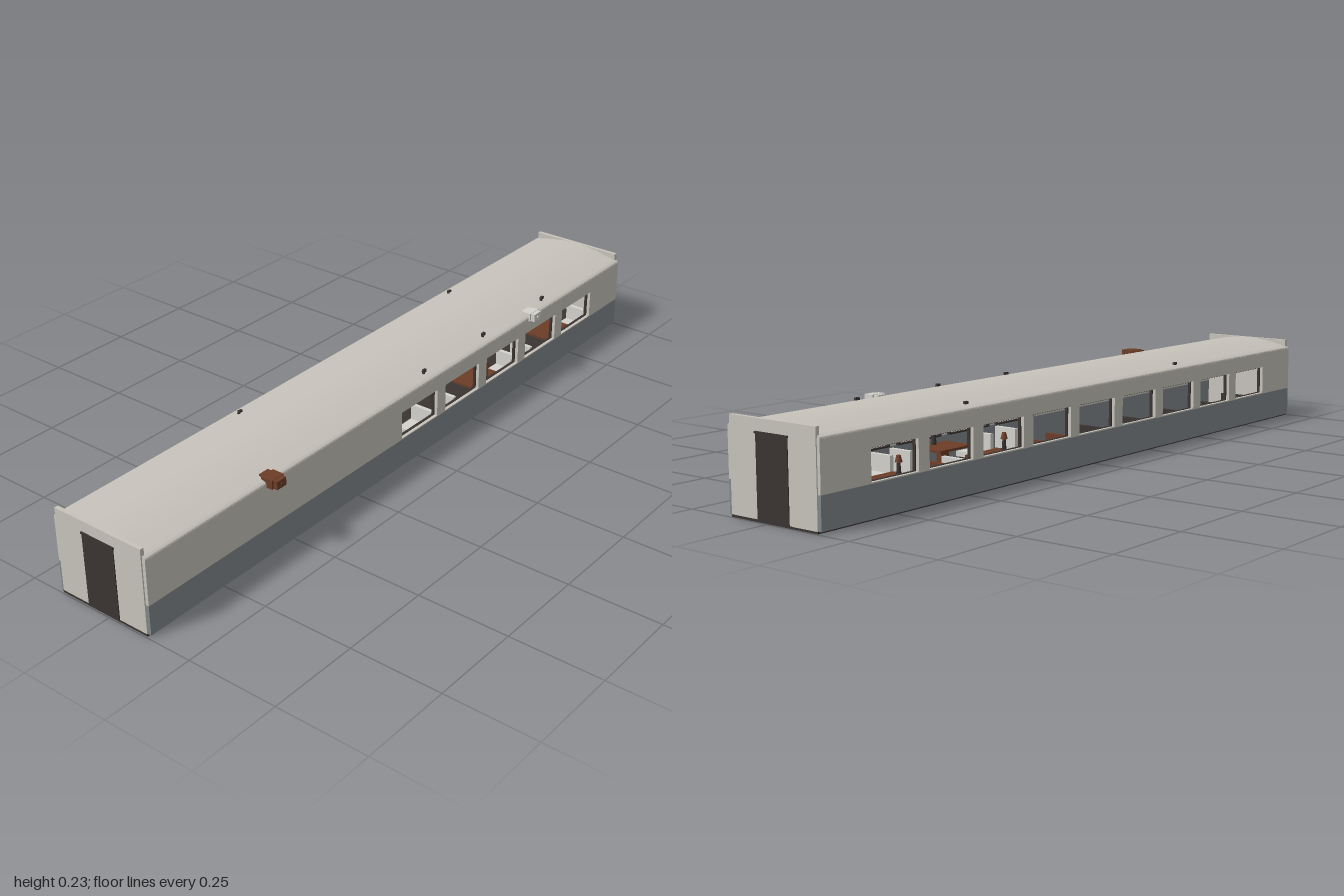
import * as THREE from 'three';
import { toCreasedNormals } from 'three/addons/utils/BufferGeometryUtils.js';

const mat = (name, color) => {
  const m = new THREE.MeshStandardMaterial({ color });
  m.name = name;
  return m;
};

export function createModel() {
  const cream = mat('cream panel', 0xc7c3bb);
  const slate = mat('slate band', 0x80888b);
  const dark = mat('dark trim', 0x3a3332);
  const brown = mat('brown wood', 0x6d3d28);
  const pale = mat('pale upholstery', 0xd3d2cd);

  const car = new THREE.Group();
  car.name = 'railCar';
  const CX = -0.0175; // the body sits slightly off centre

  const add = (parent, name, geo, material, x = 0, y = 0, z = 0) => {
    const m = new THREE.Mesh(geo, material);
    m.name = name;
    m.position.set(x, y, z);
    parent.add(m);
    return m;
  };
  // box given by its limits on each axis
  const box = (parent, name, material, x0, x1, y0, y1, z0, z1) =>
    add(parent, name, new THREE.BoxGeometry(x1 - x0, y1 - y0, z1 - z0), material,
      (x0 + x1) / 2, (y0 + y1) / 2, (z0 + z1) / 2);
  const group = (parent, name, x = 0, y = 0, z = 0) => {
    const g = new THREE.Group();
    g.name = name;
    g.position.set(x, y, z);
    parent.add(g);
    return g;
  };

  // floor
  box(car, 'floor', dark, -0.155, 0.119, 0, 0.006, -0.996, 0.996);

  // side walls: slate band below, cream with window openings above
  const WIN = { w: 0.154, y0: 0.088, y1: 0.165, pitch: 0.1905 };
  const T = 0.009;
  const sideWall = (name, xOuter, dir, first, last) => {
    const g = group(car, name);
    const xMax = dir > 0 ? xOuter : xOuter + T;
    box(g, 'lowerBand', slate, xMax - T, xMax, 0.005, 0.085, -0.993, 0.993);

    const s = new THREE.Shape();
    s.moveTo(-0.993, 0.085).lineTo(0.993, 0.085).lineTo(0.993, 0.208).lineTo(-0.993, 0.208).closePath();
    for (let k = first; k <= last; k++) {
      const c = k * WIN.pitch, a = c - WIN.w / 2, b = c + WIN.w / 2;
      const h = new THREE.Path();
      h.moveTo(a, WIN.y0).lineTo(a, WIN.y1).lineTo(b, WIN.y1).lineTo(b, WIN.y0).closePath();
      s.holes.push(h);

      // dark frame behind each opening
      const f = group(g, 'windowFrame');
      const xi = xOuter - dir * T, x0 = Math.min(xi, xi - dir * 0.008), x1 = x0 + 0.008;
      const t = 0.003;
      box(f, 'frameTop', dark, x0, x1, WIN.y1 - t, WIN.y1 + t, a - t, b + t);
      box(f, 'frameSill', dark, x0, x1, WIN.y0 - t, WIN.y0 + 0.001, a - t, b + t);
      for (const e of [a, b]) box(f, 'frameSide', dark, x0, x1, WIN.y0, WIN.y1, e - t, e + t);
    }
    const geo = new THREE.ExtrudeGeometry(s, { depth: T, bevelEnabled: false });
    geo.rotateY(-Math.PI / 2);
    add(g, 'upperPanel', geo, cream, xMax);
  };
  sideWall('leftWall', 0.1275, 1, -4, 0);
  sideWall('rightWall', -0.1625, -1, -4, 4);

  // end walls with door and header
  for (const s of [1, -1]) {
    const g = group(car, s > 0 ? 'frontEnd' : 'backEnd');
    const zBox = (name, m, x0, x1, y0, y1, a, b) =>
      box(g, name, m, x0, x1, y0, y1, Math.min(s * a, s * b), Math.max(s * a, s * b));
    zBox('endWall', cream, -0.154, 0.118, 0.005, 0.233, 0.985, 0.996);
    zBox('door', dark, -0.068, 0.032, 0.005, 0.201, 0.99, 0.998);
    zBox('doorHeader', dark, -0.07, 0.034, 0.199, 0.204, 0.99, 1);
  }

  // arched roof shell
  const half = [[0.1453, 0.206], [0.143, 0.2105], [0.136, 0.2135], [0.1, 0.2215], [0.055, 0.2295], [0, 0.233]];
  const pts = [...half, ...half.slice(0, -1).reverse().map(([x, y]) => [-x, y])];
  const arc = new THREE.CatmullRomCurve3(pts.map(([x, y]) => new THREE.Vector3(x, y, 0))).getPoints(40);
  const roof = new THREE.Shape([
    ...arc.map(p => new THREE.Vector2(p.x + CX, p.y)),
    ...arc.slice().reverse().map(p => new THREE.Vector2(p.x * 0.96 + CX, p.y - 0.005)),
  ]);
  const roofGeo = new THREE.ExtrudeGeometry(roof, { depth: 1.984, bevelEnabled: false, steps: 1 });
  add(car, 'roof', toCreasedNormals(roofGeo, 0.6), cream, 0, 0, -0.992);

  // small roof clips
  for (const [x, z] of [[0.098, -0.615], [0.098, -0.325], [0.098, -0.055], [-0.137, -0.49], [-0.137, 0.4]]) {
    const y = x > 0 ? 0.2195 : 0.2175;
    const g = group(car, 'roofClip', x, y, z);
    box(g, 'clipBase', dark, -0.004, 0.003, -0.004, 0.006, -0.008, 0.004);
    box(g, 'clipTip', dark, 0, 0.006, -0.004, 0.003, 0.004, 0.009);
  }

  // two fittings projecting from the left eave
  const fitting = (name, m, z, x1) => {
    const g = group(car, name, 0, 0, z);
    box(g, 'case', m, 0.1, x1, 0.199, 0.221, -0.016, 0.016);
    box(g, 'collar', m, 0.112, x1 - 0.012, 0.198, 0.222, -0.021, 0.021);
    const knob = new THREE.CylinderGeometry(0.003, 0.003, 0.006, 8).rotateZ(Math.PI / 2);
    add(g, 'knob', knob, m === brown ? dark : m, x1, 0.21, 0);
  };
  fitting('brownFitting', brown, 0.577, 0.157);
  fitting('paleFitting', pale, -0.528, 0.143);

  // dining section: tables with lamps, pale and brown chairs
  const chair = (x, z, dir, m) => {
    const g = group(car, 'chair', x, 0.006, z);
    g.rotation.y = dir > 0 ? 0 : Math.PI;
    box(g, 'seat', m, -0.034, 0.034, 0.022, 0.036, -0.03, 0.03);
    box(g, 'base', dark, -0.028, 0.028, 0, 0.022, -0.024, 0.024);
    box(g, 'backrest', m, -0.034, 0.034, 0.022, 0.079, -0.038, -0.026);
  };
  for (const z of [-0.72, -0.345]) {
    for (const s of [1, -1]) {
      const x = CX + s * 0.085;
      const t = group(car, 'table', x, 0, z);
      box(t, 'tableTop', brown, -0.045, 0.045, 0.066, 0.072, -0.06, 0.06);
      box(t, 'tableLeg', brown, -0.008, 0.008, 0.006, 0.066, -0.015, 0.015);
      add(t, 'lampStem', new THREE.CylinderGeometry(0.004, 0.007, 0.04, 8), dark, s * 0.03, 0.092, 0);
      add(t, 'lampShade', new THREE.CylinderGeometry(0.005, 0.009, 0.016, 8), brown, s * 0.03, 0.12, 0);
      chair(x, z - 0.12, 1, pale);
      chair(x, z + 0.12, -1, s > 0 ? pale : brown);
    }
  }
  for (const s of [1, -1]) chair(CX + s * 0.085, -0.06, 1, s > 0 ? pale : brown);

  // lounge section: dark benches along the right wall
  for (let k = 0; k < 5; k++) {
    const g = group(car, 'bench', CX - 0.085, 0.006, 0.1 + k * 0.18);
    box(g, 'benchSeat', dark, -0.045, 0.045, 0, 0.036, -0.035, 0.035);
    box(g, 'benchBack', dark, -0.045, 0.045, 0.03, 0.078, -0.045, -0.031);
  }
  return car;
}
